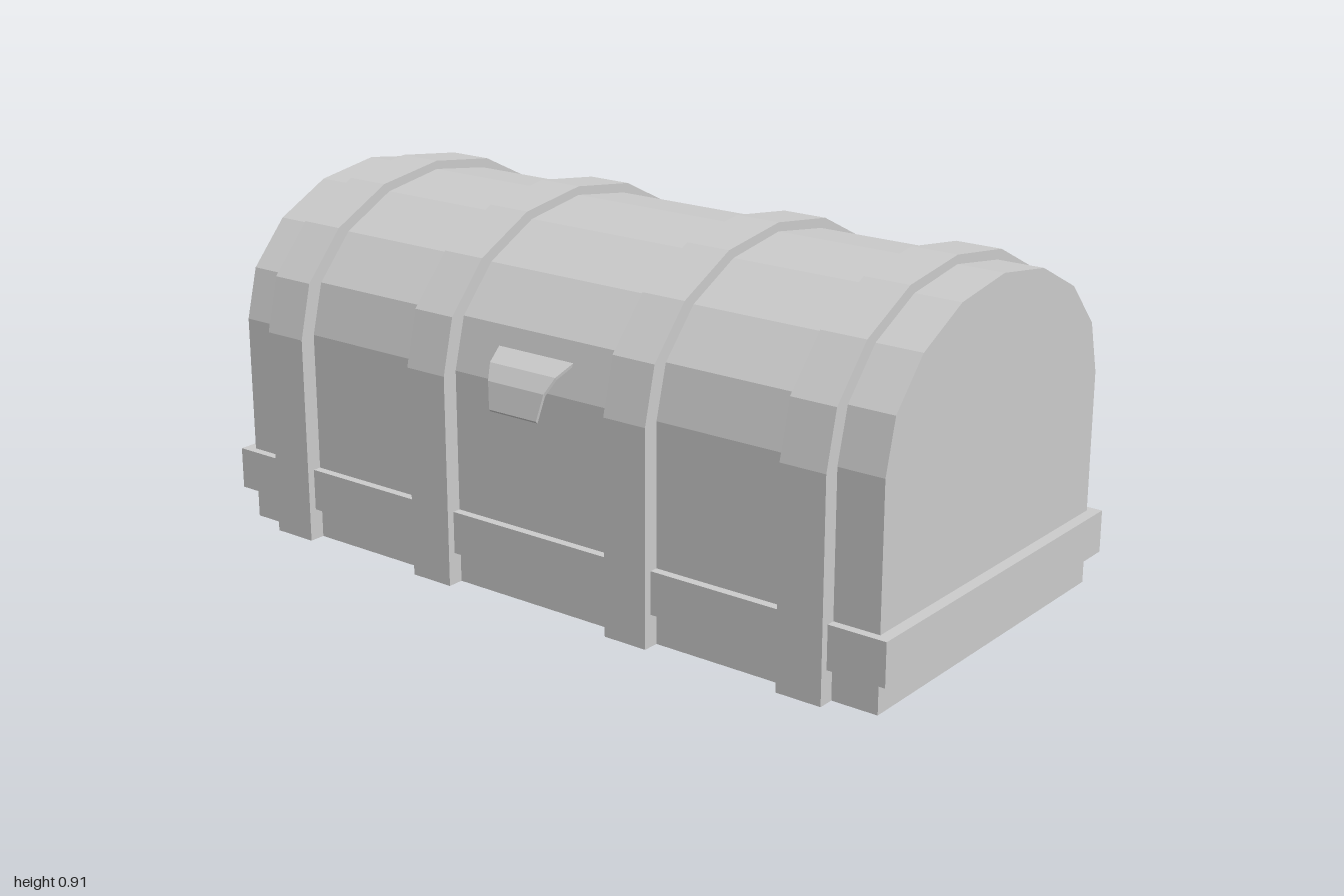
import * as THREE from 'three';

const material = new THREE.MeshStandardMaterial({ color: 0xcccccc, flatShading: true });

function add(parent, name, geometry, x = 0, y = 0, z = 0) {
  const mesh = new THREE.Mesh(geometry, material);
  mesh.name = name;
  mesh.position.set(x, y, z);
  parent.add(mesh);
  return mesh;
}

// Closed x/y outline extruded along z, centred on z = 0
function prism(points, depth) {
  const shape = new THREE.Shape(points.map(([x, y]) => new THREE.Vector2(x, y)));
  const geometry = new THREE.ExtrudeGeometry(shape, { depth, bevelEnabled: false });
  return geometry.translate(0, 0, -depth / 2);
}

const CENTRE_X = 0.005;
// Right half of an arch, mirrored about the chest's centre line
function arch(half) {
  const right = half.map(([x, y]) => [CENTRE_X + x, y]);
  const left = half.slice(0, -1).reverse().map(([x, y]) => [CENTRE_X - x, y]);
  return [...right, ...left];
}

const bodyOutline = arch([[0.468, 0], [0.468, 0.545], [0.434, 0.675], [0.332, 0.787], [0.18, 0.863], [0, 0.89]]);
const strapOutline = arch([[0.51, 0], [0.51, 0.54], [0.475, 0.68], [0.365, 0.802], [0.197, 0.885], [0, 0.912]]);

// Curved tongue: a box whose rows follow a path and narrow downward
function claspGeometry() {
  const rows = [ // x, y, half width; bottom to top
    [-0.526, 0.495, 0.072], [-0.513, 0.56, 0.085], [-0.488, 0.597, 0.1], [-0.435, 0.625, 0.115],
  ];
  const geometry = new THREE.BoxGeometry(1, 1, 1, 1, rows.length - 1, 1);
  const p = geometry.attributes.position;
  for (let i = 0; i < p.count; i++) {
    const [x, y, w] = rows[Math.round((p.getY(i) + 0.5) * (rows.length - 1))];
    p.setXYZ(i, x + p.getX(i) * 0.006, y - p.getX(i) * 0.006, p.getZ(i) * 2 * w);
  }
  geometry.computeVertexNormals();
  return geometry;
}

export function createModel() {
  const chest = new THREE.Group();
  chest.name = 'chest';

  // Barrel-topped body
  add(chest, 'body', prism(bodyOutline, 1.94));

  // Band around the base
  add(chest, 'baseBand', new THREE.BoxGeometry(0.98, 0.108, 2), CENTRE_X, 0.135, 0);

  // Straps running up and over the lid, hugging the body
  const strapRing = [...strapOutline, ...bodyOutline.slice().reverse()];
  for (const z of [-0.79, -0.305, 0.305, 0.79]) {
    add(chest, 'strap', prism(strapRing, 0.12), 0, 0, z);
  }

  // Five-sided hinge barrels on the straps
  const hingeOutline = [[0.483, 0.521], [0.515, 0.521], [0.526, 0.553], [0.5, 0.574], [0.473, 0.553]];
  for (const z of [-0.782, -0.315, 0.315, 0.782]) {
    add(chest, 'hinge', prism(hingeOutline, 0.172), 0, 0, z);
  }

  // Clasp opposite the hinges
  add(chest, 'clasp', claspGeometry(), 0, 0, -0.008);

  return chest;
}
